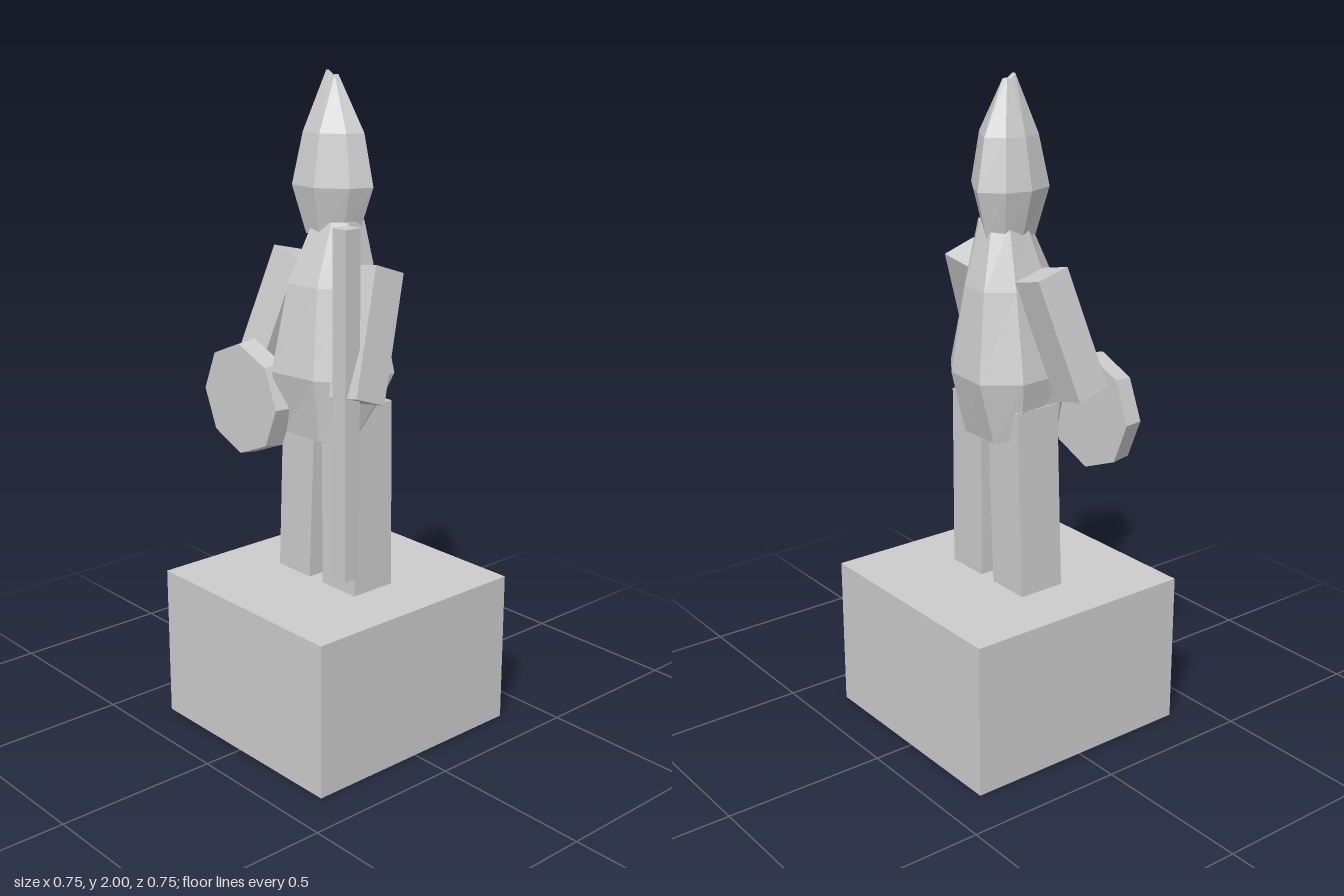
import * as THREE from 'three';

const stone = new THREE.MeshStandardMaterial({ color: 0xcccccc, flatShading: true });
stone.name = 'grey stone';

// Closed faceted skin through rings listed bottom to top; each ring is { y, pts: [[x, z], ...] }
function loft(rings) {
  const pos = [];
  const n = rings[0].pts.length;
  const at = (r, i) => {
    const [x, z, lift = 0] = rings[r].pts[i % n];
    return [x, rings[r].y + lift, z];
  };
  const mid = (r) => {
    const sum = rings[r].pts.reduce((a, p) => [a[0] + p[0] / n, a[1] + p[1] / n], [0, 0]);
    return [sum[0], rings[r].y, sum[1]];
  };
  const last = rings.length - 1;
  for (let i = 0; i < n; i++) {
    for (let r = 0; r < last; r++) {
      const a = at(r, i), b = at(r, i + 1), c = at(r + 1, i + 1), d = at(r + 1, i);
      pos.push(...a, ...b, ...c, ...a, ...c, ...d);
    }
    pos.push(...mid(0), ...at(0, i + 1), ...at(0, i));
    pos.push(...mid(last), ...at(last, i), ...at(last, i + 1));
  }
  const g = new THREE.BufferGeometry();
  g.setAttribute('position', new THREE.Float32BufferAttribute(pos, 3));
  g.computeVertexNormals();
  return g;
}

// Scale a ring outline about a centre
const scaled = (pts, sx, sz, cx, cz) => pts.map(([x, z]) => [cx + (x - cx) * sx, cz + (z - cz) * sz]);

export function createModel() {
  const model = new THREE.Group();
  model.name = 'statue';

  function add(name, geometry, x = 0, y = 0, z = 0) {
    const mesh = new THREE.Mesh(geometry, stone);
    mesh.name = name;
    mesh.position.set(x, y, z);
    model.add(mesh);
    return mesh;
  }

  // Box stretched between two end points
  function limb(name, top, bottom, width, depth) {
    const a = new THREE.Vector3(...top), b = new THREE.Vector3(...bottom);
    const mesh = add(name, new THREE.BoxGeometry(width, a.distanceTo(b), depth));
    mesh.position.copy(a).add(b).multiplyScalar(0.5);
    mesh.quaternion.setFromUnitVectors(new THREE.Vector3(0, 1, 0), a.sub(b).normalize());
  }

  // Pedestal
  add('pedestal', new THREE.BoxGeometry(0.725, 0.475, 0.75), 0.01, 0.2375, 0);

  // Legs
  limb('rightLeg', [-0.075, 1.05, -0.005], [-0.096, 0.45, 0], 0.143, 0.15);
  limb('leftLeg', [0.093, 1.05, -0.01], [0.109, 0.45, 0], 0.143, 0.15);

  // Tunic, widest at the hips and narrowing to the neck
  const hips = [
    [-0.06, 0.186], [0.1, 0.163], [0.195, 0.09], [0.185, -0.075],
    [0.07, -0.157], [-0.083, -0.168], [-0.163, -0.07], [-0.15, 0.09],
  ];
  const hem = [
    [-0.06, 0.14], [0.09, 0.135], [0.17, 0.08], [0.11, -0.03],
    [0.06, -0.115], [-0.08, -0.115], [-0.13, -0.05], [-0.13, 0.08],
  ];
  add('tunic', loft([
    { y: 0.95, pts: hem },
    { y: 1.14, pts: hips },
    { y: 1.4, pts: scaled(hips, 0.68, 0.76, 0.01, 0) },
    { y: 1.58, pts: scaled(hips, 0.42, 0.4, 0.03, -0.01) },
  ]));

  // Pointed hood
  const brow = [
    [-0.06, 0.104], [0.035, 0.104], [0.115, 0.04], [0.14, -0.028],
    [0.06, -0.08], [-0.015, -0.12], [-0.075, -0.065], [-0.092, 0.015],
  ];
  add('hood', loft([
    { y: 1.54, pts: scaled(brow, 0.62, 0.7, 0.005, 0) },
    { y: 1.68, pts: brow },
    { y: 1.83, pts: scaled(brow, 0.75, 0.75, 0.015, 0) },
    { y: 1.985, pts: scaled(brow, 0.13, 0.18, 0.002, 0.002).map(([x, z], i) => [x, z, i < 2 ? 0.015 : 0]) },
  ]));

  // Arms, swung forward and outward
  limb('leftArm', [0.183, 1.457, 0], [0.243, 1.105, 0.127], 0.114, 0.11);
  limb('rightArm', [-0.152, 1.453, 0], [-0.232, 1.1, 0.09], 0.114, 0.11);

  // Octagonal shield
  const shield = add('shield', new THREE.CylinderGeometry(0.17, 0.178, 0.06, 8), -0.196, 1.03, 0.17);
  shield.rotation.x = Math.PI / 2;

  // Spear
  add('spear', new THREE.BoxGeometry(0.053, 1.025, 0.055), 0.233, 1.0875, 0.157);

  return model;
}
